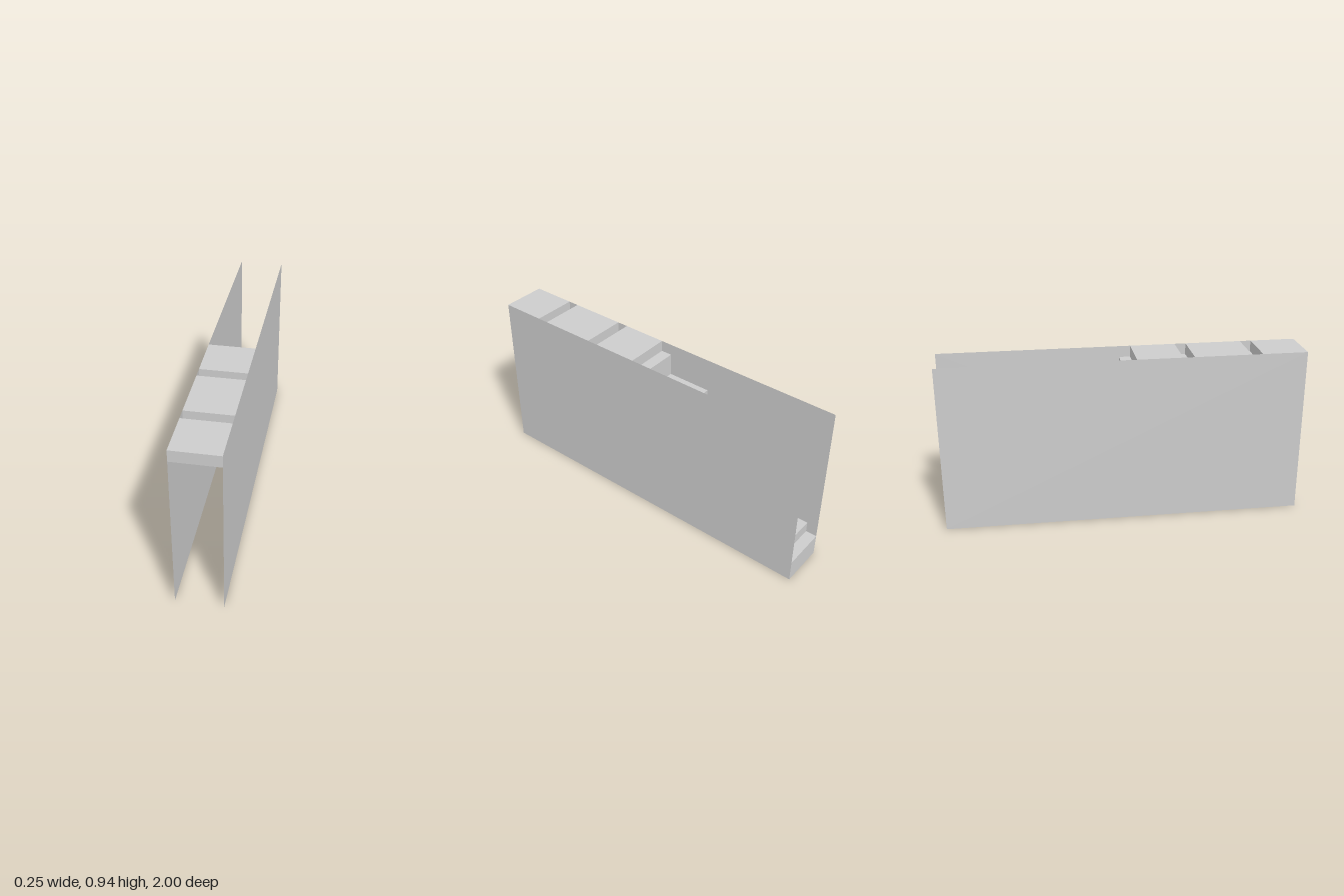
import * as THREE from 'three';

const U = 1 / 16;         // module the whole staircase is laid out on
const WIDTH = 4 * U, LENGTH = 32 * U, HEIGHT = 15 * U;

// Treads from back to front: [start z, height], in modules; narrow nosings alternate with wide treads
const TREADS = [
  [-16, 2], [-15, 3], [-13, 5], [-12, 6], [-9, 8], [-8, 9], [-5, 11], [-4, 12], [0, 14], [1, 15],
  [5, 14], [6, 15], [11, 14], [12, 15],
];
const FRONT = [16, 14];   // the front lip drops to this height

export function createModel() {
  const model = new THREE.Group();
  const grey = new THREE.MeshStandardMaterial({ color: 0xcccccc, side: THREE.DoubleSide });
  grey.name = 'light grey';

  const addPanel = (name, w, h, rotX, rotY, x, y, z) => {
    const mesh = new THREE.Mesh(new THREE.PlaneGeometry(w, h), grey);
    mesh.name = name;
    mesh.rotation.set(rotX, rotY, 0);
    mesh.position.set(x, y, z);
    model.add(mesh);
  };

  // Thin side walls, open at both ends and below
  for (const s of [-1, 1]) {
    addPanel(s > 0 ? 'leftWall' : 'rightWall', LENGTH, HEIGHT, 0, s * Math.PI / 2,
      s * WIDTH / 2, HEIGHT / 2, 0);
  }

  // Folded stair surface: one riser and one tread per step
  const addRiser = (z, y0, y1) => addPanel('riser', WIDTH, Math.abs(y1 - y0) * U,
    0, y1 > y0 ? Math.PI : 0, 0, (y0 + y1) / 2 * U, z * U);
  let below = 0;
  TREADS.forEach(([z, y], i) => {
    const end = (TREADS[i + 1] || FRONT)[0];
    addRiser(z, below, y);
    addPanel('tread', WIDTH, (end - z) * U, -Math.PI / 2, 0, 0, y * U, (z + end) / 2 * U);
    below = y;
  });
  addRiser(FRONT[0], below, FRONT[1]);

  return model;
}
